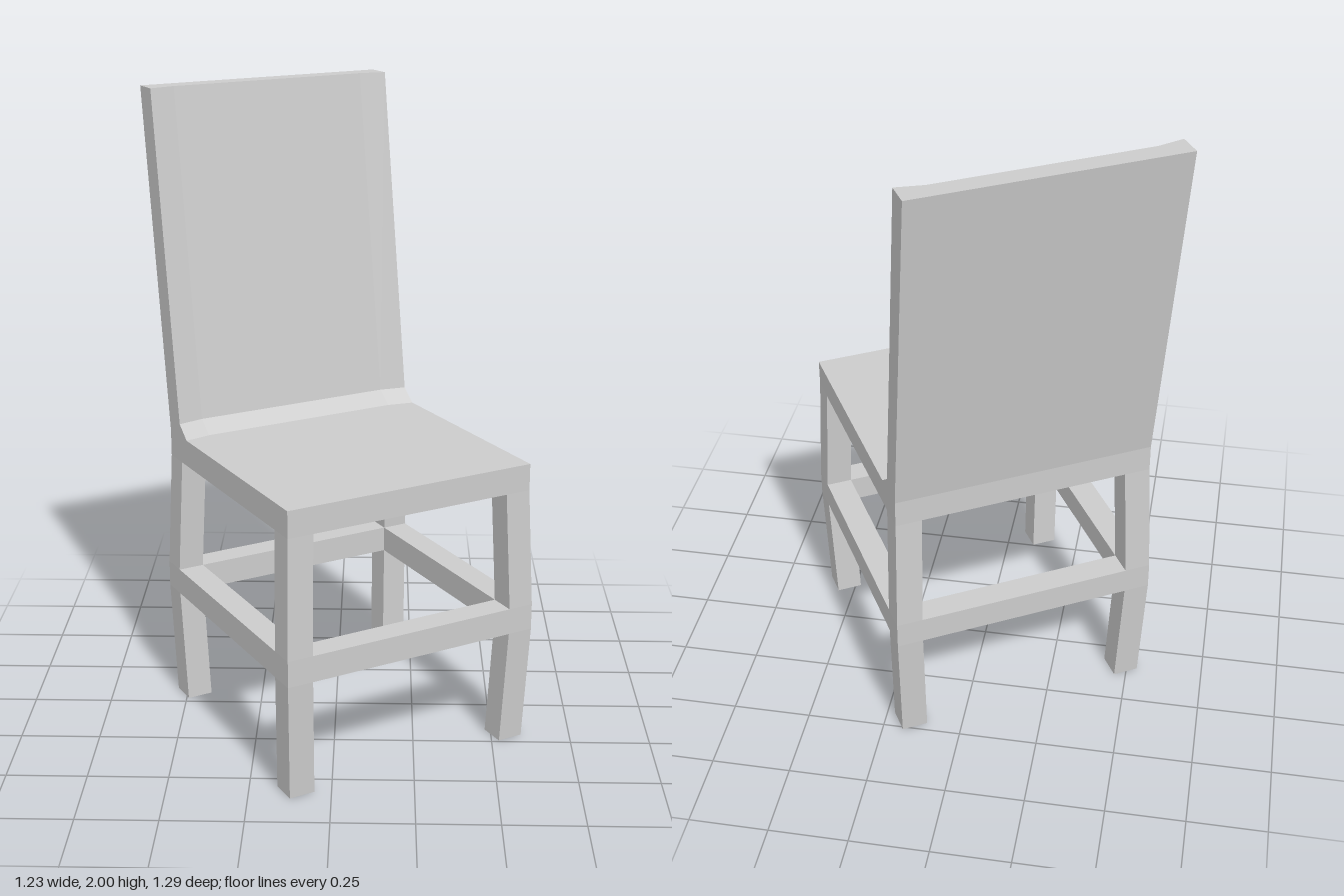
import * as THREE from 'three';

const material = new THREE.MeshStandardMaterial({ color: 0xcccccc, flatShading: true });
const HALF_W = 0.415, FRONT = 0.472, BACK = -0.35; // seat footprint
const BAR = 0.083;                                 // leg and rail thickness
const BOW_X = 0.012, BOW_Z = 0.018;                // outward bow of the legs at rail height
const RAIL_LOW = 0.376, RAIL_HIGH = 0.46, SEAT_LOW = 0.835;

function addMesh(parent, name, geometry) {
  const mesh = new THREE.Mesh(geometry, material);
  mesh.name = name;
  parent.add(mesh);
  return mesh;
}

// Move every vertex of a geometry by a rule
function reshape(geometry, rule) {
  const p = geometry.attributes.position;
  const v = new THREE.Vector3();
  for (let i = 0; i < p.count; i++) {
    rule(v.fromBufferAttribute(p, i));
    p.setXYZ(i, v.x, v.y, v.z);
  }
  geometry.computeVertexNormals();
  return geometry;
}

// Seat and backrest: one side profile swept across the width, with a shallow hollow in the back
function seatAndBackGeometry() {
  const profile = [
    [FRONT, SEAT_LOW], [FRONT, 0.92], [-0.227, 0.92], [-0.278, 0.96],
    [-0.43, 2], [-0.51, 2], [BACK, 0.92], [BACK, SEAT_LOW],
  ].map(([z, y]) => new THREE.Vector2(z, y));
  const geometry = new THREE.ExtrudeGeometry(new THREE.Shape(profile), {
    depth: 3, steps: 3, bevelEnabled: false,
  });
  geometry.rotateY(-Math.PI / 2);
  const stations = [HALF_W, 0.33, -0.33, -HALF_W];
  const hollow = profile.slice(2, 5);
  return reshape(geometry, (v) => {
    const step = Math.round(-v.x);
    const onHollow = hollow.some((h) => Math.abs(h.x - v.z) < 1e-3 && Math.abs(h.y - v.y) < 1e-3);
    if (onHollow && (step === 1 || step === 2)) v.z -= 0.016;
    v.x = stations[step];
  });
}

// Leg bowed outward between floor and seat
function legGeometry(sx, sz) {
  const levels = [0, RAIL_LOW, RAIL_HIGH, SEAT_LOW];
  const cx = sx * (HALF_W - BAR / 2);
  const cz = sz > 0 ? FRONT - BAR / 2 : BACK + BAR / 2;
  return reshape(new THREE.BoxGeometry(BAR, 3, BAR, 1, 3, 1), (v) => {
    const level = Math.round(v.y + 1.5);
    const bow = level === 1 || level === 2 ? 1 : 0;
    v.set(v.x + cx + sx * BOW_X * bow, levels[level], v.z + cz + sz * BOW_Z * bow);
  });
}

export function createModel() {
  const model = new THREE.Group();
  model.name = 'chair';
  model.rotation.y = Math.PI / 6;

  addMesh(model, 'seatAndBackrest', seatAndBackGeometry());

  for (const [sz, end] of [[1, 'front'], [-1, 'back']]) {
    for (const [sx, side] of [[1, 'Left'], [-1, 'Right']]) {
      addMesh(model, `${end}${side}Leg`, legGeometry(sx, sz));
    }
  }

  // Rails joining the legs at their widest point
  const railY = (RAIL_LOW + RAIL_HIGH) / 2, railH = RAIL_HIGH - RAIL_LOW;
  const outerX = HALF_W + BOW_X, zFront = FRONT + BOW_Z, zBack = BACK - BOW_Z;
  const across = new THREE.BoxGeometry(2 * (outerX - BAR), railH, BAR);
  const along = new THREE.BoxGeometry(BAR, railH, zFront - zBack - 2 * BAR);
  addMesh(model, 'frontRail', across).position.set(0, railY, zFront - BAR / 2);
  addMesh(model, 'backRail', across).position.set(0, railY, zBack + BAR / 2);
  addMesh(model, 'leftRail', along).position.set(outerX - BAR / 2, railY, (zFront + zBack) / 2);
  addMesh(model, 'rightRail', along).position.set(-outerX + BAR / 2, railY, (zFront + zBack) / 2);

  return model;
}
